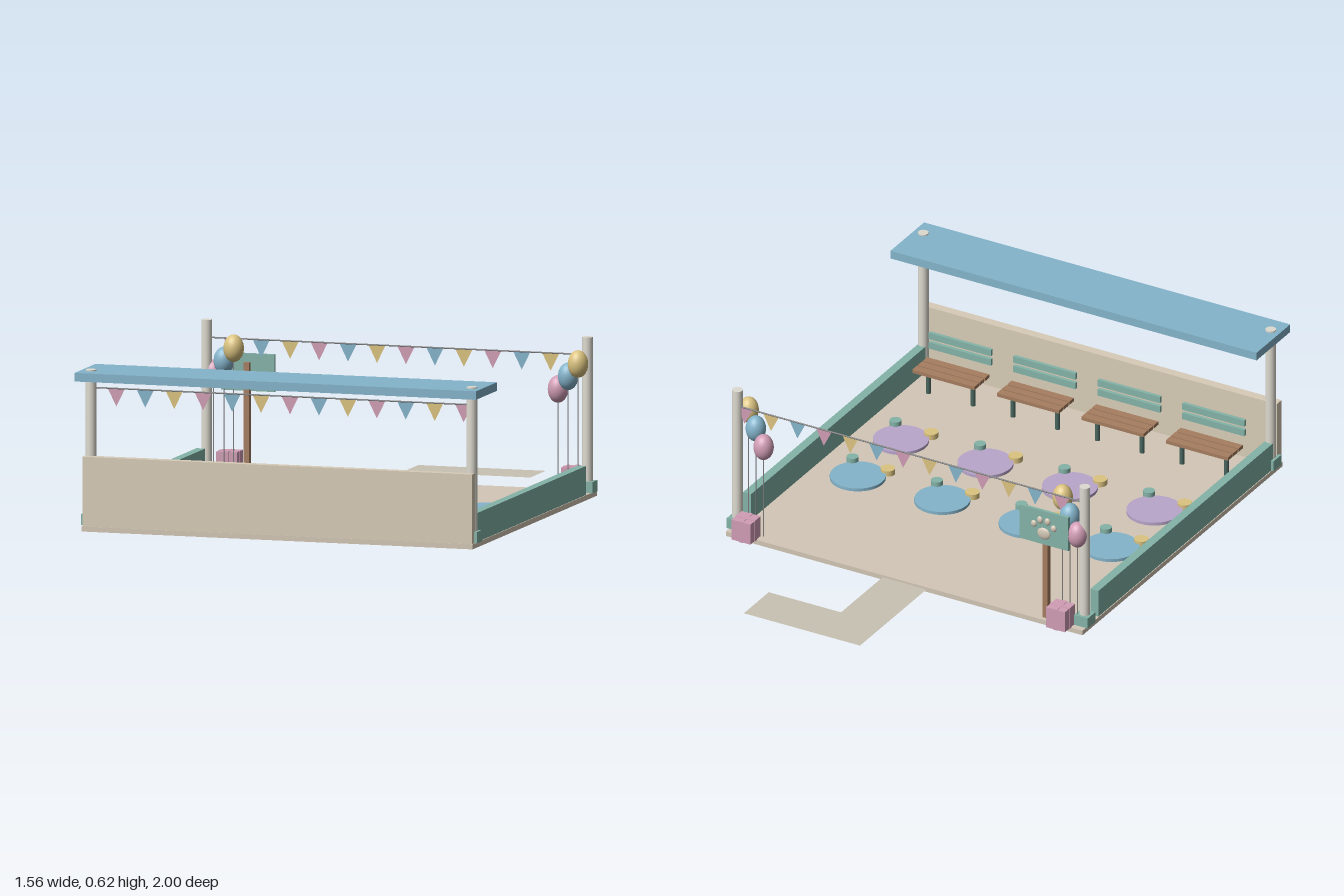
import * as THREE from 'three';

const mat = (color, side = THREE.FrontSide) => new THREE.MeshStandardMaterial({ color, side });
const M = {
  floor: mat(0xd3c7b6), wall: mat(0xd8ccb7), path: mat(0xc9c2b4, THREE.DoubleSide),
  blue: mat(0x84b4cb), teal: mat(0x84b3a8), pink: mat(0xd19db5), yellow: mat(0xdbc380),
  purple: mat(0xbaa6cc), wood: mat(0xa67e60), post: mat(0xdedbd0), leg: mat(0x4a6660),
  string: mat(0x888888),
};
const flagMats = [0xd19db5, 0x84b4cb, 0xdbc380].map((c) => mat(c, THREE.DoubleSide));

export function createModel() {
  const root = new THREE.Group();

  function add(name, geo, material, x, y, z, parent = root) {
    const m = new THREE.Mesh(geo, material);
    m.name = name;
    m.position.set(x, y, z);
    parent.add(m);
    return m;
  }
  // Box given by its min and max extents
  const box = (name, material, x0, x1, y0, y1, z0, z1, parent) =>
    add(name, new THREE.BoxGeometry(x1 - x0, y1 - y0, z1 - z0), material,
      (x0 + x1) / 2, (y0 + y1) / 2, (z0 + z1) / 2, parent);
  // Upright cylinder standing on y0
  const rod = (name, material, r, x, y0, y1, z, parent, seg = 20) =>
    add(name, new THREE.CylinderGeometry(r, r, y1 - y0, seg), material, x, (y0 + y1) / 2, z, parent);
  const group = (name) => {
    const g = new THREE.Group();
    g.name = name;
    root.add(g);
    return g;
  };

  // Floor, front wall, side walls and canopy
  const top = 0.037;
  box('floor', M.floor, -0.76, 0.76, 0.018, top, -0.507, 0.978);
  box('frontWall', M.wall, -0.757, 0.757, 0.018, 0.297, 0.94, 0.976);
  for (const s of [-1, 1]) {
    add('sideWall', new THREE.BoxGeometry(0.034, 0.108, 1.295), M.teal, s * 0.74, 0.091, 0.263);
  }
  box('canopy', M.blue, -0.78, 0.78, 0.58, 0.612, 0.75, 1);

  // L-shaped entrance path
  const pathShape = new THREE.Shape(
    [[-0.095, 0.507], [0.092, 0.507], [0.092, 0.815], [0.4, 0.815], [0.4, 1], [-0.095, 1]]
      .map(([x, y]) => new THREE.Vector2(x, y)));
  add('path', new THREE.ShapeGeometry(pathShape), M.path, 0, 0.028, 0).rotation.x = -Math.PI / 2;

  // Corner posts with square feet
  for (const x of [-0.74, 0.74]) {
    for (const z of [-0.455, 0.925]) {
      rod('cornerPost', M.post, 0.02, x, top, 0.617, z);
      add('postFoot', new THREE.BoxGeometry(0.058, 0.042, 0.058), M.teal, x, 0.059, z);
    }
  }

  // Bunting strung between each pair of posts
  const flagGeo = new THREE.ShapeGeometry(new THREE.Shape([
    new THREE.Vector2(-0.033, 0), new THREE.Vector2(0, -0.066), new THREE.Vector2(0.033, 0)]));
  for (const z of [-0.458, 0.925]) {
    const bunting = group('bunting');
    const line = new THREE.CylinderGeometry(0.003, 0.003, 1.46, 6);
    add('buntingString', line, M.string, 0, 0.55, z, bunting).rotation.z = Math.PI / 2;
    for (let i = 0; i < 13; i++) {
      add('flag', flagGeo, flagMats[i % 3], -0.642 + i * 0.1125, 0.549, z, bunting);
    }
  }

  // Balloon clusters on strings
  const balloonGeo = new THREE.SphereGeometry(0.038, 24, 16);
  balloonGeo.scale(1, 1.35, 1);
  const balloons = [[0, 0.415, -0.47, M.pink], [0.048, 0.468, -0.444, M.blue], [0.096, 0.52, -0.414, M.yellow]];
  for (const x0 of [-0.718, 0.62]) {
    const cluster = group('balloonCluster');
    for (const [dx, y, z, m] of balloons) {
      add('balloon', balloonGeo, m, x0 + dx, y, z, cluster);
      rod('balloonString', M.string, 0.0018, x0 + dx, 0, y - 0.048, z, cluster, 6);
    }
  }

  // Gift boxes with crossed ribbons
  for (const x of [-0.67, 0.67]) {
    const gift = group('giftBox');
    const c = [x, 0.08, -0.513];
    add('giftBody', new THREE.BoxGeometry(0.08, 0.084, 0.076), M.pink, ...c, gift);
    add('ribbon', new THREE.BoxGeometry(0.014, 0.087, 0.079), M.pink, ...c, gift);
    add('ribbon', new THREE.BoxGeometry(0.083, 0.087, 0.014), M.pink, ...c, gift);
  }

  // Sign board on a wooden stake, with a paw print facing outwards
  const sign = group('sign');
  box('signStake', M.wood, -0.602, -0.58, top, 0.46, -0.49, -0.47, sign);
  box('signBoard', M.teal, -0.695, -0.487, 0.352, 0.492, -0.5, -0.488, sign);
  const pads = [[0, -0.022, 0.028, 0.024], [-0.042, 0.01, 0.012, 0.014], [-0.016, 0.032, 0.012, 0.015],
    [0.016, 0.032, 0.012, 0.015], [0.042, 0.01, 0.012, 0.014]];
  for (const [dx, dy, rx, ry] of pads) {
    const pad = add('pawPad', new THREE.SphereGeometry(1, 16, 10), M.floor, -0.591 + dx, 0.42 + dy, -0.5, sign);
    pad.scale.set(rx, ry, 0.008);
  }

  // Play mats with two small bowls each, and a row of benches at the front
  for (const x of [-0.54, -0.18, 0.18, 0.54]) {
    for (const [z, m] of [[0.09, M.blue], [0.41, M.purple]]) {
      const spot = group('playSpot');
      rod('mat', m, 0.104, x, top, top + 0.012, z, spot, 40);
      rod('largeBowl', M.yellow, 0.027, x - 0.079, top, top + 0.022, z + 0.086, spot);
      rod('smallBowl', M.teal, 0.022, x + 0.072, top, top + 0.03, z + 0.086, spot);
    }
    const bench = group('bench');
    for (const z of [0.741, 0.78, 0.819]) {
      add('seatSlat', new THREE.BoxGeometry(0.265, 0.014, 0.032), M.wood, x, 0.145, z, bench);
    }
    for (const y of [0.196, 0.236]) {
      add('backSlat', new THREE.BoxGeometry(0.265, 0.026, 0.014), M.teal, x, y, 0.853, bench);
    }
    for (const s of [-1, 1]) rod('benchLeg', M.leg, 0.009, x + s * 0.095, top, 0.14, 0.78, bench, 12);
  }
  return root;
}
